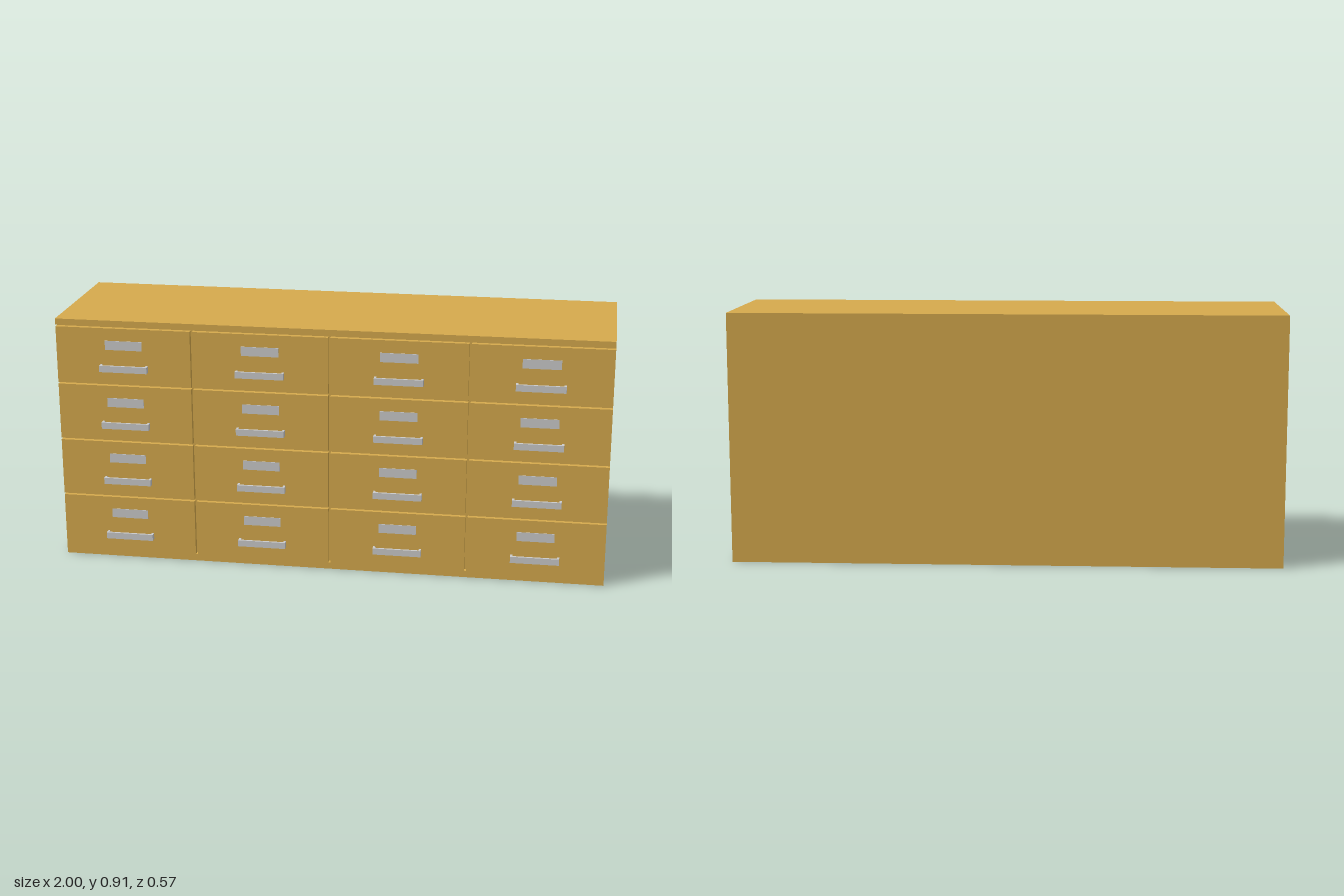
import * as THREE from 'three';

const WOOD = new THREE.MeshStandardMaterial({ color: 0xd6aa4d });
const METAL = new THREE.MeshStandardMaterial({ color: 0xcccccc });

const BACK = -0.285, FRONT = 0.264, RECESS = 0.246, HEIGHT = 0.912;
const GAP_X = 0.008, GAP_Y = 0.006;

// Box given by its limits on each axis
function block(name, material, [x0, x1], [y0, y1], [z0, z1]) {
  const mesh = new THREE.Mesh(new THREE.BoxGeometry(x1 - x0, y1 - y0, z1 - z0), material);
  mesh.position.set((x0 + x1) / 2, (y0 + y1) / 2, (z0 + z1) / 2);
  mesh.name = name;
  return mesh;
}

// U-shaped pull, drawn from above and extruded upwards
function handleGeometry(width, height, depth, thickness) {
  const w = width / 2, i = w - thickness, d = depth - thickness;
  const outline = [[-w, 0], [-i, 0], [-i, -d], [i, -d], [i, 0], [w, 0], [w, -depth], [-w, -depth]];
  const shape = new THREE.Shape(outline.map(([x, y]) => new THREE.Vector2(x, y)));
  const geometry = new THREE.ExtrudeGeometry(shape, { depth: height, bevelEnabled: false });
  geometry.rotateX(-Math.PI / 2);
  geometry.translate(0, -height / 2, 0);
  return geometry;
}

export function createModel() {
  const cabinet = new THREE.Group();
  cabinet.name = 'drawerCabinet';

  // Carcass, with top rail and plinth flush with the drawer fronts
  const seams = [0.238, 0.455, 0.67, 0.886];
  const plinthTop = 0.025;
  cabinet.add(block('carcass', WOOD, [-1, 1], [0, HEIGHT], [BACK, RECESS]));
  cabinet.add(block('topRail', WOOD, [-1, 1], [seams[3] + GAP_Y / 2, HEIGHT], [RECESS, FRONT]));
  cabinet.add(block('plinth', WOOD, [-1, 1], [0, plinthTop], [RECESS, FRONT]));

  // Four rows of four drawers, separated by narrow grooves
  const pull = handleGeometry(0.176, 0.024, 0.021, 0.008);
  seams.forEach((seam, row) => {
    const bottom = row === 0 ? plinthTop : seams[row - 1] + GAP_Y / 2;
    const top = seam - GAP_Y / 2;
    for (let col = 0; col < 4; col++) {
      const left = -1 + col * 0.5, centre = left + 0.25;
      const x0 = col === 0 ? left : left + GAP_X / 2;
      const x1 = col === 3 ? left + 0.5 : left + 0.5 - GAP_X / 2;
      const drawer = new THREE.Group();
      drawer.name = 'drawer';
      drawer.add(block('drawerFront', WOOD, [x0, x1], [bottom, top], [RECESS, FRONT]));

      // Label plate above the pull
      const labelY = seam - 0.066;
      drawer.add(block('labelPlate', METAL, [centre - 0.068, centre + 0.068],
        [labelY - 0.017, labelY + 0.017], [FRONT - 0.002, FRONT + 0.002]));

      const handle = new THREE.Mesh(pull, METAL);
      handle.name = 'handle';
      handle.position.set(centre, seam - 0.15, FRONT);
      drawer.add(handle);
      cabinet.add(drawer);
    }
  });

  return cabinet;
}
